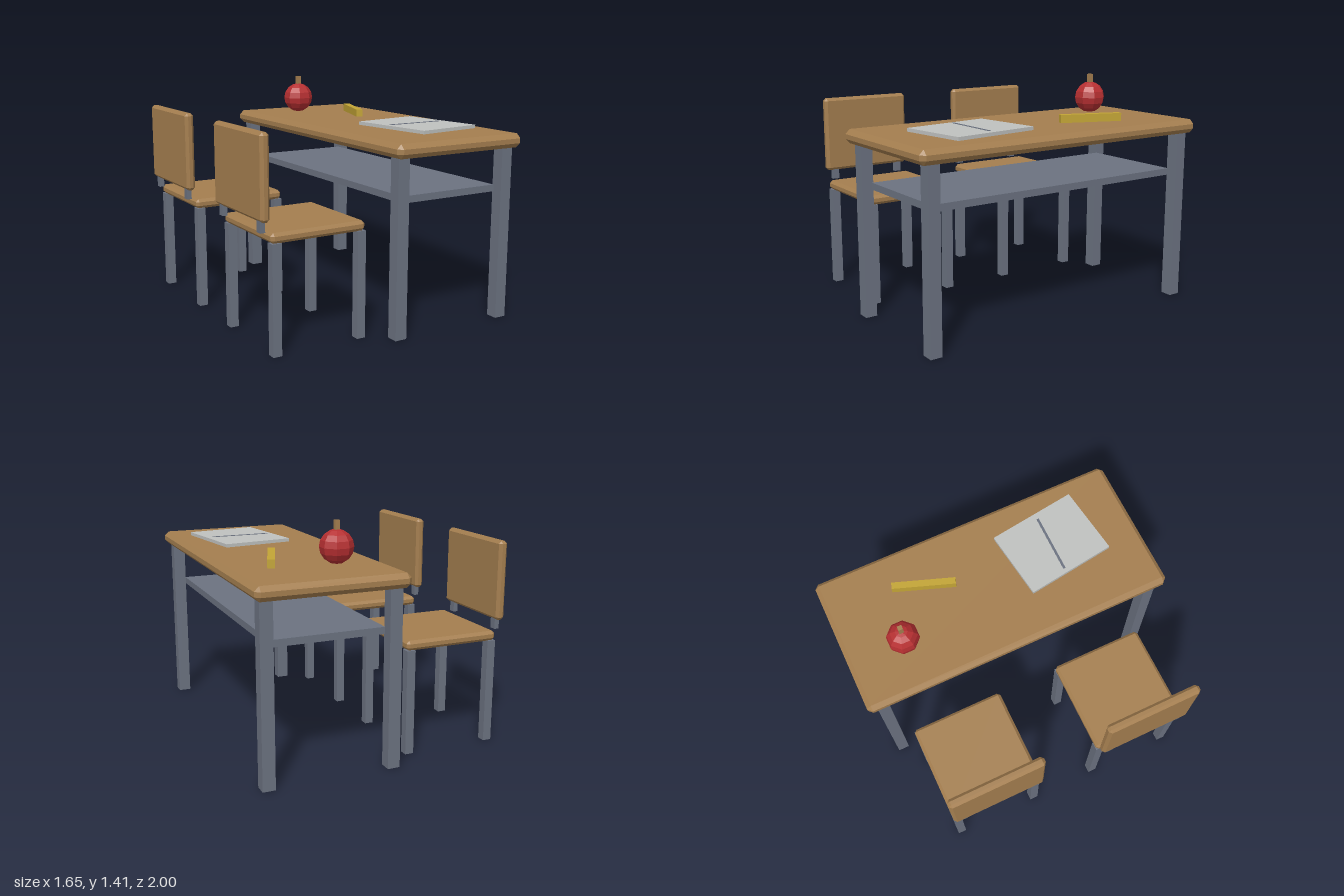
import * as THREE from 'three';
import { ConvexGeometry } from 'three/addons/geometries/ConvexGeometry.js';

const material = (name, color) => {
  const m = new THREE.MeshStandardMaterial({ color });
  m.name = name;
  return m;
};

export function createModel() {
  const wood = material('wood', 0xa47e4f);
  const metal = material('greyMetal', 0x6b7280);
  const paper = material('paper', 0xbfc1bf);
  const red = material('appleRed', 0xb62f31);
  const yellow = material('pencilYellow', 0xc2a435);

  const root = new THREE.Group();
  root.name = 'deskWithChairs';

  const add = (parent, name, geometry, mat, x, y, z) => {
    const mesh = new THREE.Mesh(geometry, mat);
    mesh.name = name;
    mesh.position.set(x, y, z);
    parent.add(mesh);
    return mesh;
  };
  const box = (parent, name, mat, [w, h, d], [x, y, z]) =>
    add(parent, name, new THREE.BoxGeometry(w, h, d), mat, x, y, z);

  // Box with every edge cut at 45 degrees
  const chamferBox = (parent, name, mat, [w, h, d], [x, y, z], c) => {
    const points = [];
    for (const sx of [-1, 1]) for (const sy of [-1, 1]) for (const sz of [-1, 1]) {
      for (let axis = 0; axis < 3; axis++) {
        const inset = [c, c, c];
        inset[axis] = 0;
        points.push(new THREE.Vector3(
          sx * (w / 2 - inset[0]), sy * (h / 2 - inset[1]), sz * (d / 2 - inset[2])));
      }
    }
    return add(parent, name, new ConvexGeometry(points), mat, x, y, z);
  };

  const group = (name, z = 0) => {
    const g = new THREE.Group();
    g.name = name;
    g.position.z = z;
    root.add(g);
    return g;
  };

  // Desk
  const desk = group('desk');
  chamferBox(desk, 'deskTop', wood, [0.906, 0.085, 2], [0.37, 1.108, 0], 0.028);
  for (const x of [-0.01, 0.75]) for (const z of [-0.908, 0.908]) {
    box(desk, 'deskLeg', metal, [0.076, 1.066, 0.074], [x, 0.533, z]);
  }
  box(desk, 'deskShelf', metal, [0.684, 0.042, 1.76], [0.37, 0.811, 0]);

  // Two chairs
  for (const cz of [-0.5, 0.5]) {
    const chair = group('chair', cz);
    chamferBox(chair, 'seat', wood, [0.604, 0.06, 0.6], [-0.466, 0.67, 0], 0.018);
    chamferBox(chair, 'backrest', wood, [0.056, 0.484, 0.6], [-0.799, 1.004, 0], 0.017);
    for (const s of [-1, 1]) {
      for (const x of [-0.738, -0.19]) {
        box(chair, 'chairLeg', metal, [0.054, 0.642, 0.054], [x, 0.321, s * 0.273]);
      }
      box(chair, 'backPost', metal, [0.03, 0.09, 0.044], [-0.8, 0.745, s * 0.236]);
    }
  }

  // Apple with a square stem
  const apple = group('apple');
  const sphere = new THREE.SphereGeometry(0.1, 8, 8).rotateY(Math.PI / 8).toNonIndexed();
  sphere.computeVertexNormals();
  add(apple, 'appleBody', sphere, red, 0.217, 1.26, -0.637);
  box(apple, 'appleStem', wood, [0.028, 0.07, 0.028], [0.217, 1.375, -0.637]);

  // Pencil
  const pencil = box(root, 'pencil', yellow, [0.043, 0.05, 0.394], [0.517, 1.175, -0.383]);
  pencil.rotation.y = THREE.MathUtils.degToRad(-20);

  // Notebook with a ruled line
  const notebook = box(root, 'notebook', paper, [0.447, 0.021, 0.57], [0.443, 1.167, 0.453]);
  notebook.rotation.y = THREE.MathUtils.degToRad(8);
  box(root, 'notebookLine', metal, [0.38, 0.004, 0.015], [0.436, 1.178, 0.446]);

  return root;
}
